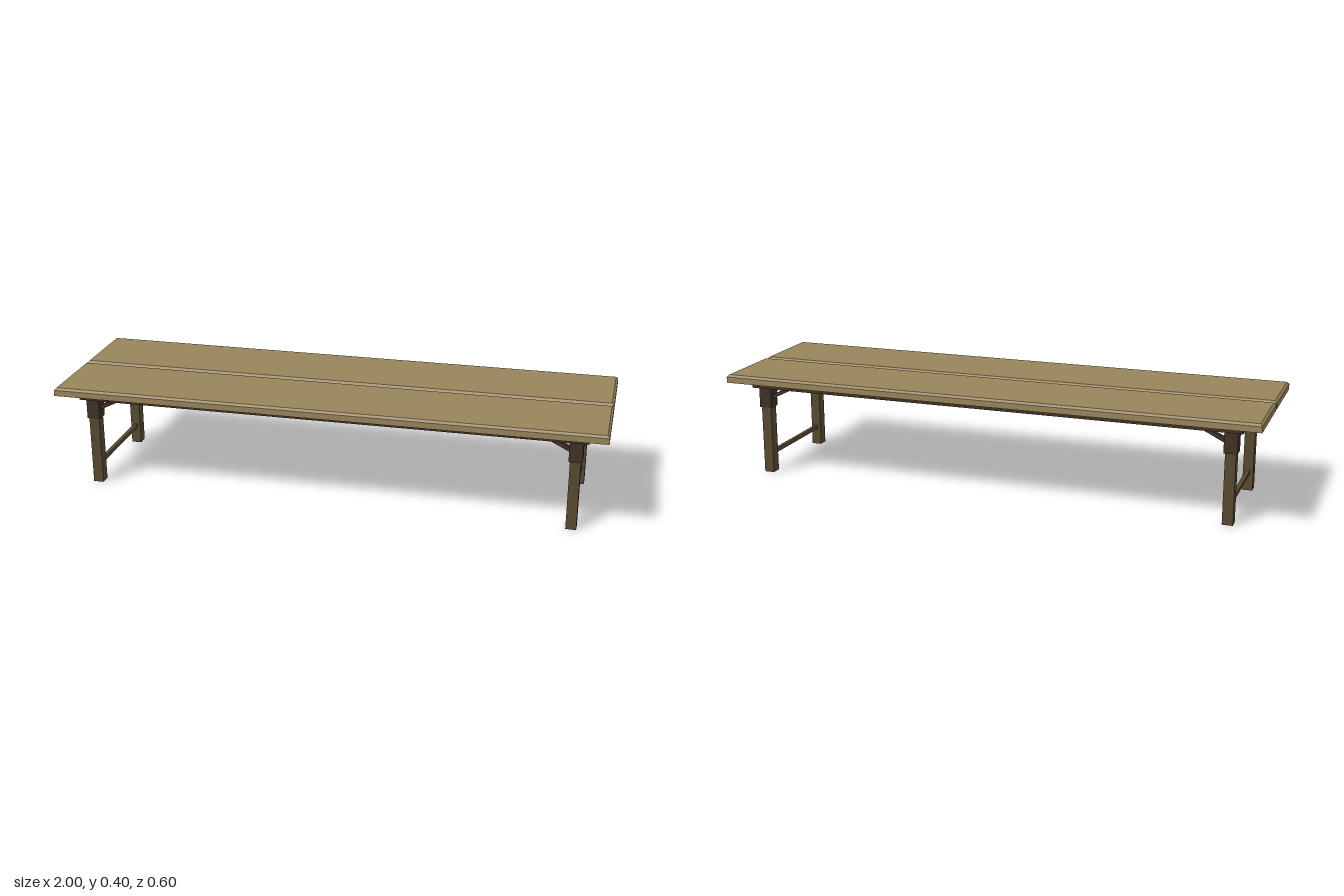
import * as THREE from 'three';

const material = color => new THREE.MeshStandardMaterial({ color, flatShading: true });

export function createModel() {
  const plankWood = material(0x98845b);
  const legWood = material(0x57492f);
  const frameWood = material(0x3f3023);

  const table = new THREE.Group();
  table.name = 'trestleTable';

  function add(parent, name, geometry, mat, x, y, z) {
    const mesh = new THREE.Mesh(geometry, mat);
    mesh.name = name;
    mesh.position.set(x, y, z);
    parent.add(mesh);
    return mesh;
  }
  // Box whose height runs from y0 to y1
  function beam(parent, name, mat, w, y0, y1, d, x, z) {
    return add(parent, name, new THREE.BoxGeometry(w, y1 - y0, d), mat, x, (y0 + y1) / 2, z);
  }

  // Plank with a bevelled upper edge: the middle ring rises, the top ring draws in
  function plankGeometry(w, h, d, bevel) {
    const geometry = new THREE.BoxGeometry(w, h, d, 1, 2, 1);
    const p = geometry.attributes.position;
    for (let i = 0; i < p.count; i++) {
      if (Math.abs(p.getY(i)) < 1e-6) p.setY(i, h / 2 - bevel);
      else if (p.getY(i) > 0) {
        p.setX(i, p.getX(i) - Math.sign(p.getX(i)) * bevel);
        p.setZ(i, p.getZ(i) - Math.sign(p.getZ(i)) * bevel);
      }
    }
    geometry.computeVertexNormals();
    return geometry;
  }
  const plank = plankGeometry(2, 0.03, 0.295, 0.008);
  add(table, 'frontPlank', plank, plankWood, 0, 0.381, 0.1545);
  add(table, 'backPlank', plank, plankWood, 0, 0.381, -0.1525);

  // Underframe and legs share a centre slightly off the tabletop's
  const base = new THREE.Group();
  base.name = 'base';
  base.position.set(0.002, 0, 0.006);
  table.add(base);

  // Apron frame with a cross rail in the middle
  const railY0 = 0.336, railY1 = 0.366, thick = 0.017;
  const halfX = 0.93, halfZ = 0.2385;
  for (const s of [1, -1]) {
    beam(base, s > 0 ? 'frontRail' : 'backRail', frameWood,
      halfX * 2, railY0, railY1, thick, 0, s * (halfZ - thick / 2));
    beam(base, s > 0 ? 'leftEndRail' : 'rightEndRail', frameWood,
      thick, railY0, railY1, (halfZ - thick) * 2, s * (halfX - thick / 2), 0);
  }
  beam(base, 'middleRail', frameWood, thick, railY0, railY1, (halfZ - thick) * 2, 0.008, 0);

  // Sloping brace, cut flush with the leg block and the underside of the planks
  const braceShape = new THREE.Shape([[0, 0.291], [0.15, 0.366], [0.118, 0.366], [0, 0.307]]
    .map(([x, y]) => new THREE.Vector2(x, y)));
  const brace = new THREE.ExtrudeGeometry(braceShape, { depth: 0.02, bevelEnabled: false });
  brace.translate(0, 0, -0.01);

  // Four corner legs, each with a block and two braces
  const legX = 0.8865, legZ = 0.198, block = 0.048;
  for (const sx of [1, -1]) {
    for (const sz of [1, -1]) {
      const corner = new THREE.Group();
      corner.name = (sz > 0 ? 'front' : 'back') + (sx > 0 ? 'Left' : 'Right') + 'Leg';
      corner.position.set(sx * legX, 0, sz * legZ);
      base.add(corner);
      beam(corner, 'post', legWood, 0.038, 0, 0.27, 0.039, 0, 0);
      beam(corner, 'block', frameWood, block, 0.258, railY1, block, 0, 0);
      const longBrace = add(corner, 'longBrace', brace, frameWood, -sx * block / 2, 0, 0);
      longBrace.rotation.y = sx > 0 ? Math.PI : 0;
      const crossBrace = add(corner, 'crossBrace', brace, frameWood, 0, 0, -sz * block / 2);
      crossBrace.rotation.y = sz * Math.PI / 2;
    }
    // Stretcher between the legs of one end
    beam(base, sx > 0 ? 'leftStretcher' : 'rightStretcher', legWood,
      0.015, 0.064, 0.078, legZ * 2 - 0.036, sx * legX, 0);
  }
  return table;
}
